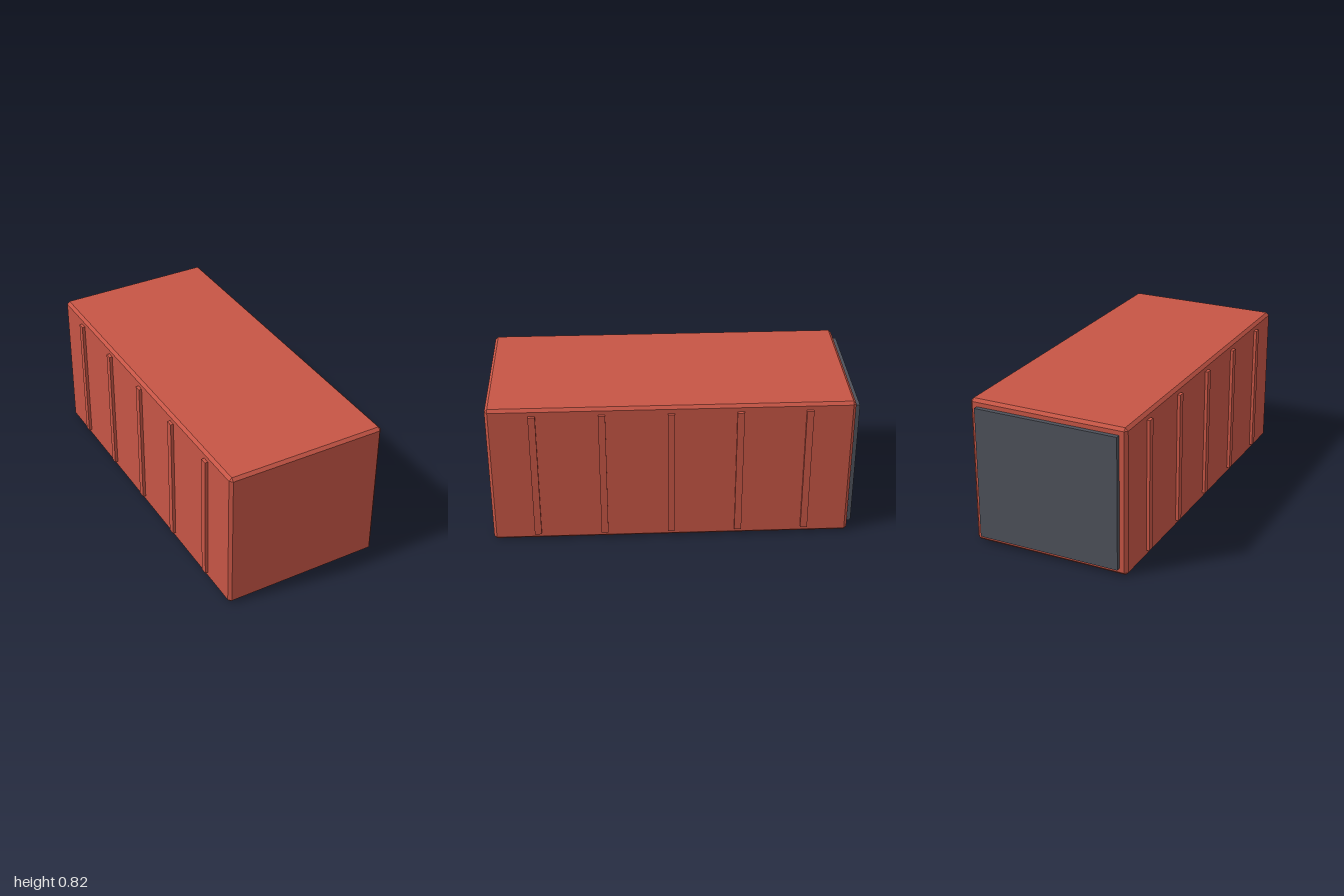
import * as THREE from 'three';
import { ConvexGeometry } from 'three/addons/geometries/ConvexGeometry.js';

// Box with every edge cut at 45 degrees
function chamferedBox(w, h, d, c) {
  const half = [w / 2, h / 2, d / 2];
  const points = [];
  for (const sx of [-1, 1]) for (const sy of [-1, 1]) for (const sz of [-1, 1]) {
    for (let axis = 0; axis < 3; axis++) {
      const [x, y, z] = half.map((v, i) => (i === axis ? v : v - c));
      points.push(new THREE.Vector3(sx * x, sy * y, sz * z));
    }
  }
  return new ConvexGeometry(points);
}

export function createModel() {
  const model = new THREE.Group();
  model.name = 'container';

  const red = new THREE.MeshStandardMaterial({ color: 0xc65545 });
  red.name = 'brick red';
  const grey = new THREE.MeshStandardMaterial({ color: 0x4d515a });
  grey.name = 'slate grey';

  const add = (name, geometry, material, x, y, z) => {
    const mesh = new THREE.Mesh(geometry, material);
    mesh.name = name;
    mesh.position.set(x, y, z);
    model.add(mesh);
  };

  const width = 0.9, height = 0.822, length = 1.974;
  const midY = height / 2, midZ = 1 - length / 2;

  // Main box
  add('body', chamferedBox(width, height, length, 0.016), red, 0, midY, midZ);

  // Rear door panel
  add('rearDoor', new THREE.BoxGeometry(0.816, 0.742, 0.04), grey, 0, midY, -0.98);

  // Five upright ribs on each side
  const rib = new THREE.BoxGeometry(0.034, 0.742, 0.038);
  for (const side of [-1, 1]) {
    for (let i = -2; i <= 2; i++) {
      add(side > 0 ? 'leftRib' : 'rightRib', rib, red, side * width / 2, midY, midZ + i * 0.37);
    }
  }
  return model;
}
